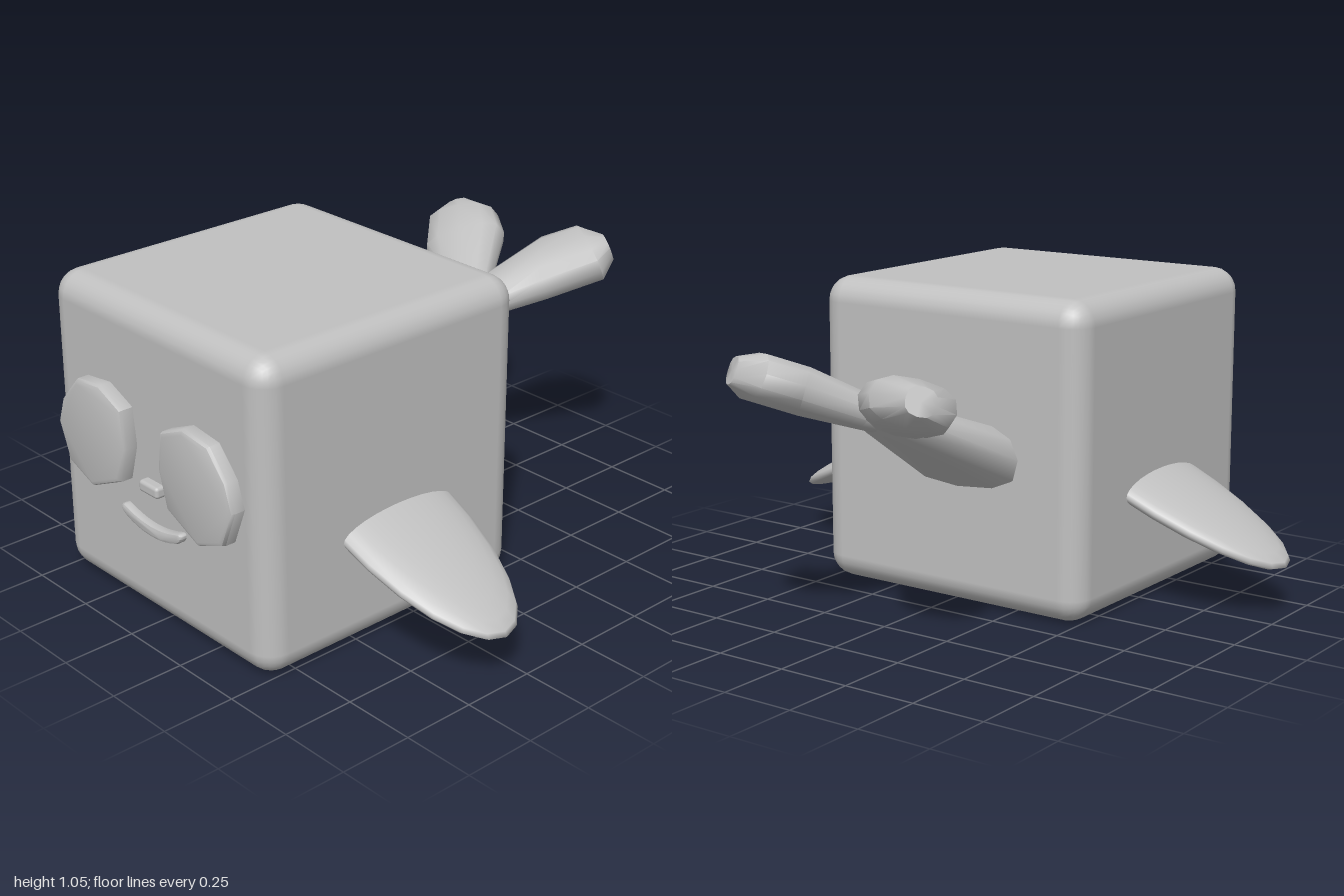
import * as THREE from 'three';
import { toCreasedNormals } from 'three/addons/utils/BufferGeometryUtils.js';
import { RoundedBoxGeometry } from 'three/addons/geometries/RoundedBoxGeometry.js';

const grey = new THREE.MeshStandardMaterial({ color: 0xc0c0c0 });
grey.name = 'grey';

function part(name, geometry, x = 0, y = 0, z = 0) {
  const mesh = new THREE.Mesh(geometry, grey);
  mesh.name = name;
  mesh.position.set(x, y, z);
  return mesh;
}

// Plate with softened rim, from z = 0 to z = depth
function plate(shape, depth, bevel) {
  const g = new THREE.ExtrudeGeometry(shape, {
    depth: depth - bevel, bevelEnabled: true, bevelSize: bevel, bevelThickness: bevel,
    bevelOffset: -bevel, bevelSegments: 2, curveSegments: 10,
  });
  return toCreasedNormals(g, 0.75);
}

// Tail loft: each section is [x1, z1, x2, z2, halfHeight], its two side edges seen
// from above, lying on a plane that rises towards the back
function tailLoft(sections) {
  const N = 12, pos = [], idx = [];
  const onPlane = (x, z) => new THREE.Vector3(x, 0.53 + (-0.18 - z) * 0.47, z);
  const up = new THREE.Vector3(0, 0.905, 0.425);
  const soft = (v) => Math.sign(v) * Math.pow(Math.abs(v), 0.8);
  const centres = [];
  for (const [x1, z1, x2, z2, h] of sections) {
    const a = onPlane(x1, z1), b = onPlane(x2, z2);
    const c = a.clone().add(b).multiplyScalar(0.5), side = b.clone().sub(c);
    centres.push(c);
    for (let i = 0; i < N; i++) {
      const t = (i / N) * Math.PI * 2;
      const p = c.clone().addScaledVector(side, soft(Math.cos(t))).addScaledVector(up, h * soft(Math.sin(t)));
      pos.push(p.x, p.y, p.z);
    }
  }
  const last = (sections.length - 1) * N, first = sections.length * N;
  for (const c of [centres[0], centres[centres.length - 1]]) pos.push(c.x, c.y, c.z);
  for (let i = 0; i < N; i++) {
    const j = (i + 1) % N;
    for (let s = 0; s < last; s += N) {
      idx.push(s + i, s + N + i, s + N + j, s + i, s + N + j, s + j);
    }
    idx.push(first, i, j, first + 1, last + j, last + i);
  }
  const g = new THREE.BufferGeometry();
  g.setAttribute('position', new THREE.Float32BufferAttribute(pos, 3));
  g.setIndex(idx);
  return toCreasedNormals(g, 0.8);
}

export function createModel() {
  const model = new THREE.Group();
  model.name = 'cubeFish';

  // Body
  model.add(part('body', new RoundedBoxGeometry(1.055, 1.055, 1.055, 3, 0.085), 0, 0.528, 0.353));

  // Eyes and side fins, mirrored
  const eyeOutline = [[0.21, 0.765], [0.1, 0.717], [0.085, 0.59], [0.12, 0.465], [0.27, 0.396],
    [0.39, 0.444], [0.44, 0.57], [0.41, 0.66], [0.33, 0.75]];
  for (const [side, s] of [['left', 1], ['right', -1]]) {
    const shape = new THREE.Shape(eyeOutline.map(([x, y]) => new THREE.Vector2(s * x, y)));
    model.add(part(side + 'Eye', plate(shape, 0.06, 0.016), 0, 0, 0.873));

    const fin = part(side + 'Fin', new THREE.SphereGeometry(1, 24, 14), s * 0.5, 0.39, 0.343);
    fin.scale.set(0.545, 0.056, 0.232);
    fin.rotation.z = -s * 0.418;
    model.add(fin);
  }

  // Nose
  model.add(part('nose', new RoundedBoxGeometry(0.094, 0.04, 0.05, 2, 0.012), 0, 0.479, 0.887));

  // Smiling mouth
  const smile = new THREE.Shape();
  smile.moveTo(-0.155, 0.362);
  smile.quadraticCurveTo(-0.152, 0.38, -0.13, 0.374);
  smile.quadraticCurveTo(0, 0.328, 0.13, 0.374);
  smile.quadraticCurveTo(0.152, 0.38, 0.15, 0.362);
  smile.quadraticCurveTo(0.146, 0.345, 0.12, 0.334);
  smile.quadraticCurveTo(0, 0.29, -0.12, 0.334);
  smile.quadraticCurveTo(-0.15, 0.345, -0.155, 0.362);
  model.add(part('mouth', plate(smile, 0.035, 0.01), 0, 0, 0.873));

  // Forked tail
  const tail = new THREE.Group();
  tail.name = 'tail';
  tail.add(part('tailStem', tailLoft([
    [-0.3, -0.145, 0.17, -0.145, 0.11],
    [-0.21, -0.54, 0.07, -0.54, 0.062],
    [-0.17, -0.6, 0.03, -0.6, 0.045],
  ])));
  tail.add(part('rightTailLobe', tailLoft([
    [-0.2, -0.48, 0.02, -0.56, 0.05],
    [-0.24, -0.565, -0.066, -0.665, 0.058],
    [-0.385, -0.65, -0.18, -0.84, 0.075],
    [-0.487, -0.765, -0.27, -0.9, 0.075],
    [-0.476, -0.845, -0.41, -0.908, 0.045],
  ])));
  tail.add(part('leftTailLobe', tailLoft([
    [-0.16, -0.56, 0.06, -0.48, 0.05],
    [-0.066, -0.635, 0.085, -0.56, 0.058],
    [0.005, -0.855, 0.18, -0.67, 0.075],
    [0.085, -0.94, 0.305, -0.82, 0.075],
    [0.2, -0.945, 0.28, -0.9, 0.045],
  ])));
  model.add(tail);

  return model;
}
